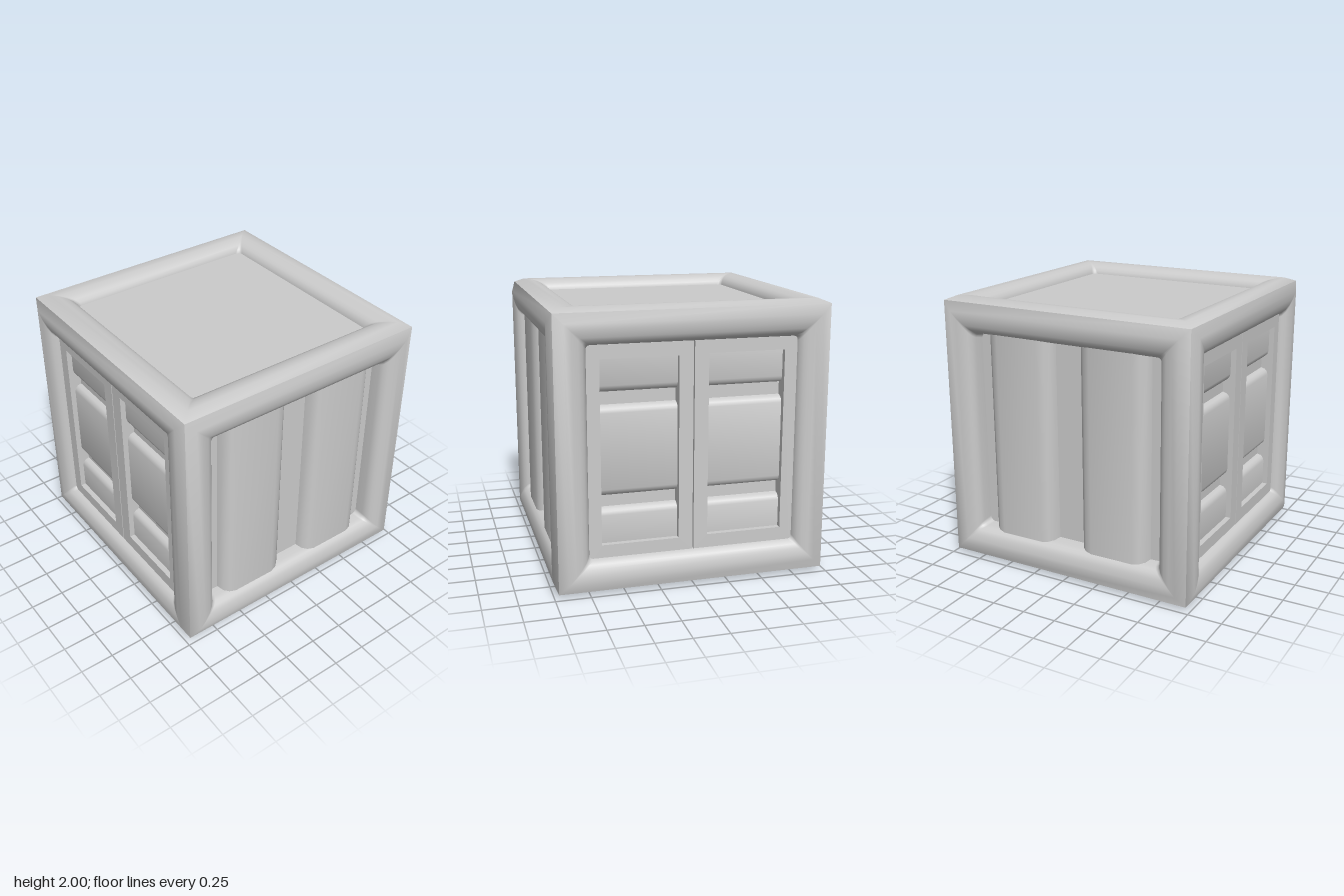
import * as THREE from 'three';
import { mergeVertices, toCreasedNormals } from 'three/addons/utils/BufferGeometryUtils.js';

const grey = new THREE.MeshStandardMaterial({ color: 0xcccccc });
grey.name = 'container grey';

function add(parent, geometry, name) {
  const mesh = new THREE.Mesh(geometry, grey);
  mesh.name = name;
  parent.add(mesh);
  return mesh;
}

// Grid of quads from rows of [x, y, z] points; closed joins each row's ends
function skin(rows, closed) {
  const n = rows[0].length, index = [];
  for (let i = 0; i < rows.length - 1; i++) {
    for (let j = 0; j < (closed ? n : n - 1); j++) {
      const k = (j + 1) % n;
      const a = i * n + j, b = i * n + k, c = (i + 1) * n + k, d = (i + 1) * n + j;
      index.push(a, b, c, a, c, d);
    }
  }
  const g = new THREE.BufferGeometry();
  g.setAttribute('position', new THREE.Float32BufferAttribute(rows.flat(2), 3));
  g.setIndex(index);
  return g;
}

// Square loop with rounded corners, counter-clockwise seen from +z
function squareLoop(half, radius, z) {
  const pts = [];
  for (let c = 0; c < 4; c++) {
    for (let s = 0; s <= 4; s++) {
      const mid = (c + 0.5) * Math.PI / 2, a = (c + s / 4) * Math.PI / 2;
      const o = (half - radius) * Math.SQRT2;
      pts.push([Math.cos(mid) * o + Math.cos(a) * radius, Math.sin(mid) * o + Math.sin(a) * radius, z]);
    }
  }
  return pts;
}

// Rounded border of one cube face: [half width, height, corner radius]
function frameGeometry() {
  const rows = [
    [0.97, 0.97, 0], [0.9, 1, 0], [0.85, 0.997, 0.005], [0.805, 0.986, 0.012],
    [0.775, 0.97, 0.02], [0.755, 0.945, 0.03], [0.745, 0.915, 0.035], [0.735, 0.84, 0.04], [0.733, 0.78, 0.04],
  ].map(([half, h, r]) => squareLoop(half, r, h));
  const g = mergeVertices(skin(rows, true), 1e-4);
  g.computeVertexNormals();
  return g;
}

// Corrugated sheet facing +z, waving along x
function sheetGeometry(profile, halfLength) {
  const rows = [-halfLength, halfLength].map(y => profile.map(([x, z]) => [x, y, z]));
  return toCreasedNormals(skin(rows, false), 0.7);
}

// Half of a raised rib, from its foot to its crest, [distance, depth fraction]
const RISE = [[0, 0], [0.16, 0.55], [0.5, 0.85], [1, 1]];
function rib(from, to, width, low, high) {
  const z = t => low + (high - low) * t;
  return [
    ...RISE.map(([d, t]) => [from + d * width, z(t)]),
    ...[...RISE].reverse().map(([d, t]) => [to - d * width, z(t)]),
  ];
}

// Door leaf with a rectangular window, on the +x half
function doorGeometry() {
  const x0 = 0.004, x1 = 0.746, y = 0.747, r = 0.03;
  const s = new THREE.Shape();
  s.moveTo(x0, -y);
  s.lineTo(x1 - r, -y);
  s.quadraticCurveTo(x1, -y, x1, -y + r);
  s.lineTo(x1, y - r);
  s.quadraticCurveTo(x1, y, x1 - r, y);
  s.lineTo(x0, y);
  s.closePath();
  const hole = new THREE.Path();
  hole.moveTo(0.105, -0.65);
  hole.lineTo(0.105, 0.655);
  hole.lineTo(0.655, 0.655);
  hole.lineTo(0.655, -0.65);
  hole.closePath();
  s.holes.push(hole);
  return new THREE.ExtrudeGeometry(s, { depth: 0.12, bevelEnabled: false, curveSegments: 4 });
}

export function createModel() {
  const model = new THREE.Group();
  model.name = 'cargoContainer';
  const body = new THREE.Group();
  body.name = 'containerBody';
  body.position.y = 1;
  model.add(body);

  const frame = frameGeometry();
  const side = (name, rx, ry) => {
    const g = new THREE.Group();
    g.name = name;
    g.rotation.set(rx, ry, 0);
    body.add(g);
    add(g, frame, 'frame');
    return g;
  };

  // Flat roof and floor
  for (const [name, rx] of [['roof', -Math.PI / 2], ['floor', Math.PI / 2]]) {
    const panel = add(side(name, rx, 0), new THREE.BoxGeometry(1.5, 1.5, 0.04), name + 'Panel');
    panel.position.z = 0.9;
  }

  // Corrugated walls at front and back
  const wall = sheetGeometry([
    [-0.75, 0.85], ...rib(-0.64, -0.11, 0.1, 0.85, 0.95),
    ...rib(0.11, 0.64, 0.1, 0.85, 0.95), [0.75, 0.85],
  ], 0.757);
  for (const [name, ry] of [['front', 0], ['back', Math.PI]]) {
    add(side(name, 0, ry), wall, 'corrugatedWall');
  }

  // Double doors on the left and right, with ribbed panels behind the windows
  const door = doorGeometry();
  const doorPanel = sheetGeometry([
    ...rib(-0.85, -0.405, 0.05, 0.83, 0.885),
    ...rib(-0.32, 0.27 + 0.05, 0.05, 0.83, 0.885).map(([x, z]) => [x, z]),
    ...rib(0.41, 0.85, 0.05, 0.83, 0.885),
  ], 0.72);
  for (const [name, ry] of [['left', Math.PI / 2], ['right', -Math.PI / 2]]) {
    const g = side(name, 0, ry);
    add(g, doorPanel, 'ribbedDoorPanel').rotation.z = Math.PI / 2;
    for (const turn of [0, Math.PI]) {
      const leaf = add(g, door, 'doorLeaf');
      leaf.position.z = 0.805;
      leaf.rotation.z = turn;
    }
  }
  return model;
}
